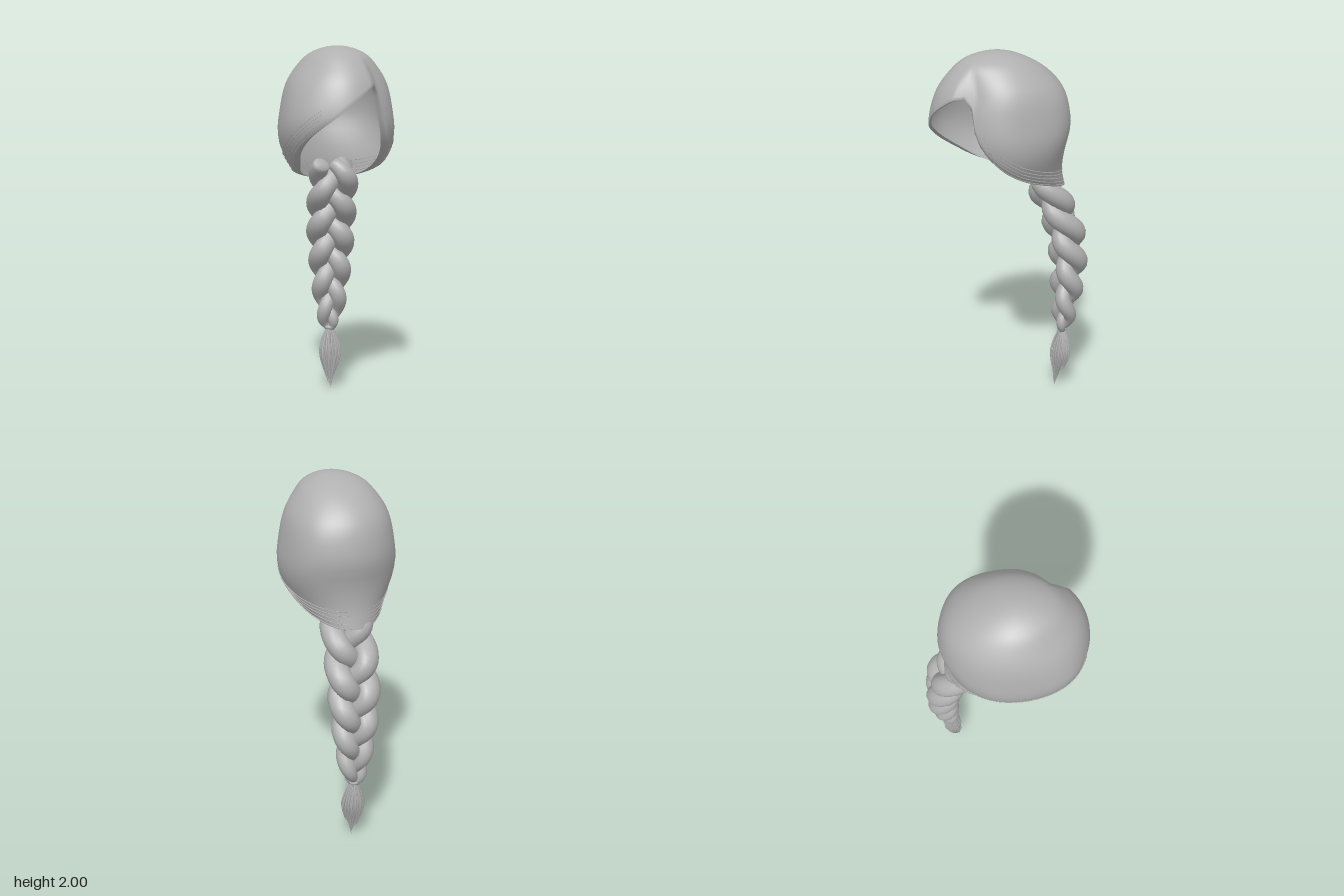
import * as THREE from 'three';
import { mergeVertices } from 'three/addons/utils/BufferGeometryUtils.js';

const hair = new THREE.MeshStandardMaterial({ color: 0xb0b0b0, side: THREE.DoubleSide });
hair.name = 'hair grey';

// Smooth interpolation through [key, value] pairs
function table(points) {
  const slope = (a, b) => (b[1] - a[1]) / (b[0] - a[0]);
  const last = points.length - 1;
  const tangents = points.map((p, i) => slope(points[Math.max(i - 1, 0)], points[Math.min(i + 1, last)]));
  return (k) => {
    let i = 0;
    while (i < last - 1 && k > points[i + 1][0]) i++;
    const [a, b] = [points[i], points[i + 1]];
    const w = b[0] - a[0], u = THREE.MathUtils.clamp((k - a[0]) / w, 0, 1), u2 = u * u, u3 = u2 * u;
    return (2 * u3 - 3 * u2 + 1) * a[1] + (u3 - 2 * u2 + u) * w * tangents[i]
      + (3 * u2 - 2 * u3) * b[1] + (u3 - u2) * w * tangents[i + 1];
  };
}

// Cap profiles; s runs from 0 at the crown to 1 at the nape
const halfWidth = table([[0, 0], [0.23, 0.145], [0.37, 0.21], [0.52, 0.27], [0.69, 0.303], [0.78, 0.312], [0.86, 0.293], [0.94, 0.235], [1, 0.175]]);
const frontZ = table([[0, 0.08], [0.23, 0.25], [0.37, 0.325], [0.52, 0.395], [0.69, 0.435], [0.78, 0.425], [0.86, 0.38], [0.94, 0.3], [1, 0.1]]);
const backZ = table([[0, 0.08], [0.23, -0.085], [0.37, -0.19], [0.52, -0.275], [0.69, -0.312], [0.76, -0.305], [0.83, -0.285], [0.94, -0.28], [1, -0.3]]);
const midZ = table([[0, 0.08], [0.52, 0.05], [0.86, 0.04], [0.94, 0], [1, -0.1]]);
// Extra fullness of the fringe corner and of the opposite back corner
const fringeBulge = table([[0, 0], [0.37, -0.03], [0.52, 0.02], [0.7, 0.08], [0.8, 0.06], [0.92, 0], [1, 0]]);
const backBulge = table([[0, 0], [0.37, 0.03], [0.6, 0.07], [0.8, 0.05], [0.92, 0], [1, 0]]);
// Height of the hairline by angle from the front, swept fringe to the right
const hairline = table([[-180, 1.26], [-150, 1.265], [-110, 1.305], [-75, 1.365], [-55, 1.44], [-30, 1.56], [-15, 1.62], [0, 1.685], [15, 1.74],
  [33, 1.79], [38, 1.78], [42, 1.68], [46, 1.59], [56, 1.49], [75, 1.4], [110, 1.31], [150, 1.265], [180, 1.26]]);

function capPoint(deg, y, scale = 1) {
  const s = Math.sqrt((2 - y) / 0.74), a = THREE.MathUtils.degToRad(deg), c = Math.cos(a);
  const parting = 0.09 * THREE.MathUtils.smoothstep(deg, 31, 42) * THREE.MathUtils.smoothstep(s, 0.25, 0.55);
  const near = (centre) => Math.exp(-(((deg - centre) / 24) ** 2));
  const full = scale * (1 + fringeBulge(s) * near(-50) + backBulge(s) * near(132));
  const mid = midZ(s);
  const reach = c > 0 ? frontZ(s) - parting - mid : mid - backZ(s);
  return new THREE.Vector3(halfWidth(s) * Math.sin(a) * full, y, mid + reach * c * full);
}

// Skin a list of equal point rows
function skin(rows) {
  const n = rows[0].length, index = [];
  for (let r = 0; r < rows.length - 1; r++) {
    for (let i = 0; i < n; i++) {
      const j = (i + 1) % n, a = r * n + i, b = r * n + j, c = a + n, d = b + n;
      index.push(a, c, b, b, c, d);
    }
  }
  let g = new THREE.BufferGeometry().setFromPoints(rows.flat());
  g.setIndex(index);
  g = mergeVertices(g, 1e-5);
  g.computeVertexNormals();
  return g;
}

// Sweep a tapering round section along a path function of u
function sweep(path, radius, steps, sides, depth = 1) {
  const rows = [], e = 0.001, side = new THREE.Vector3(), out = new THREE.Vector3();
  for (let k = 0; k <= steps; k++) {
    const u = k / steps, p = path(u);
    const t = path(Math.min(u + e, 1)).sub(path(Math.max(u - e, 0))).normalize();
    side.crossVectors(t, new THREE.Vector3(0, 0, 1)).normalize();
    out.crossVectors(side, t);
    const ring = (r) => Array.from({ length: sides }, (_, i) => {
      const a = -i / sides * Math.PI * 2;
      return p.clone().addScaledVector(side, Math.cos(a) * r).addScaledVector(out, Math.sin(a) * r * depth);
    });
    if (k === 0) rows.push(ring(0));
    rows.push(ring(radius(u)));
    if (k === steps) rows.push(ring(0));
  }
  return skin(rows);
}

export function createModel() {
  const model = new THREE.Group();
  model.name = 'braidedHair';
  const add = (name, geometry, parent = model) => {
    const mesh = new THREE.Mesh(geometry, hair);
    mesh.name = name;
    parent.add(mesh);
    return mesh;
  };
  const group = (name) => {
    const g = new THREE.Group();
    g.name = name;
    model.add(g);
    return g;
  };

  // Head cap with fringe and a rim that rolls inward at the sides
  const rows = [], columns = 90;
  for (let r = 0; r <= 26; r++) {
    const v = Math.min(r / 24, 1), roll = Math.max(r - 24, 0) / 2;
    rows.push(Array.from({ length: columns }, (_, i) => {
      const deg = -180 + i * 360 / columns;
      const inset = 0.03 + 0.15 * Math.sin(THREE.MathUtils.degToRad(deg)) ** 2;
      return capPoint(deg, 2 - (2 - hairline(deg)) * v * v, 1 - inset * roll);
    }));
  }
  add('hairCap', skin(rows));

  // Fine strands lying along the hairline on both sides
  const strands = group('hairlineStrands');
  for (const [from, to] of [[50, 172], [-172, -25]]) {
    for (let k = 0; k < 5; k++) {
      const path = (u) => {
        const deg = THREE.MathUtils.lerp(from, to, u);
        return capPoint(deg, hairline(deg) + 0.008 + k * 0.022, 1.008);
      };
      add('hairlineStrand', sweep(path, (u) => 0.0005 + 0.0025 * Math.sin(u * Math.PI), 48, 5), strands);
    }
  }

  // Three-strand braid hanging from the nape
  const braidX = table([[0.36, 0.015], [0.8, 0.024], [1.36, 0.018]]);
  const braidZ = table([[0.36, -0.31], [0.6, -0.325], [0.75, -0.335], [0.85, -0.328], [1, -0.303], [1.1, -0.268], [1.2, -0.218], [1.36, -0.16]]);
  const spread = table([[0.36, 0.01], [0.42, 0.036], [0.6, 0.056], [0.8, 0.07], [1, 0.08], [1.36, 0.085]]);
  const thick = table([[0.36, 0.018], [0.42, 0.036], [0.6, 0.053], [0.8, 0.062], [1, 0.065], [1.25, 0.06], [1.36, 0.045]]);
  const braid = group('braid');
  for (let k = 0; k < 3; k++) {
    const turn = (y) => (1.355 - y) / 0.535 * Math.PI * 2 + k * Math.PI * 2 / 3;
    const path = (u) => {
      const y = 1.355 - u * 0.995, t = turn(y), a = spread(y);
      return new THREE.Vector3(braidX(y) + a * Math.sin(t), y, braidZ(y) + a * 0.58 * Math.sin(2 * t));
    };
    const radius = (u) => {
      const y = 1.355 - u * 0.995;
      return thick(y) * (0.84 + 0.18 * Math.sin(turn(y)) ** 2);
    };
    add('braidStrand', sweep(path, radius, 70, 14, 0.9), braid);
  }

  // Tie at the end of the braid
  const tie = add('braidTie', new THREE.TorusGeometry(0.02, 0.011, 8, 18));
  tie.rotation.x = Math.PI / 2;
  tie.position.set(0.015, 0.37, -0.31);

  // Loose tuft: a spindle core wrapped in thin uneven locks
  const tuft = group('tuft');
  const core = (u) => new THREE.Vector3(0.015 - 0.005 * u, 0.37 - 0.345 * u, -0.31 + 0.045 * u * u);
  const belly = table([[0, 0.016], [0.2, 0.038], [0.4, 0.05], [0.6, 0.036], [0.8, 0.014], [1, 0.002]]);
  add('tuftCore', sweep(core, (u) => belly(u) * 0.75, 16, 12, 0.75), tuft);
  for (let i = 0; i < 40; i++) {
    const a = i * 2.4, length = 0.66 + 0.34 * ((i * 0.618) % 1), wide = 0.75 + 0.6 * ((i * 0.37) % 1);
    const path = (u) => {
      const p = core(u * length), r = belly(u * length) * wide + 0.04 * u * (1 - length);
      p.y -= 0.025 * u * length;
      return p.add(new THREE.Vector3(Math.cos(a) * r, 0, Math.sin(a) * r * 0.75));
    };
    add('tuftLock', sweep(path, (u) => 0.0065 * Math.sin(Math.PI * (0.12 + 0.86 * u)), 14, 5), tuft);
  }
  return model;
}
